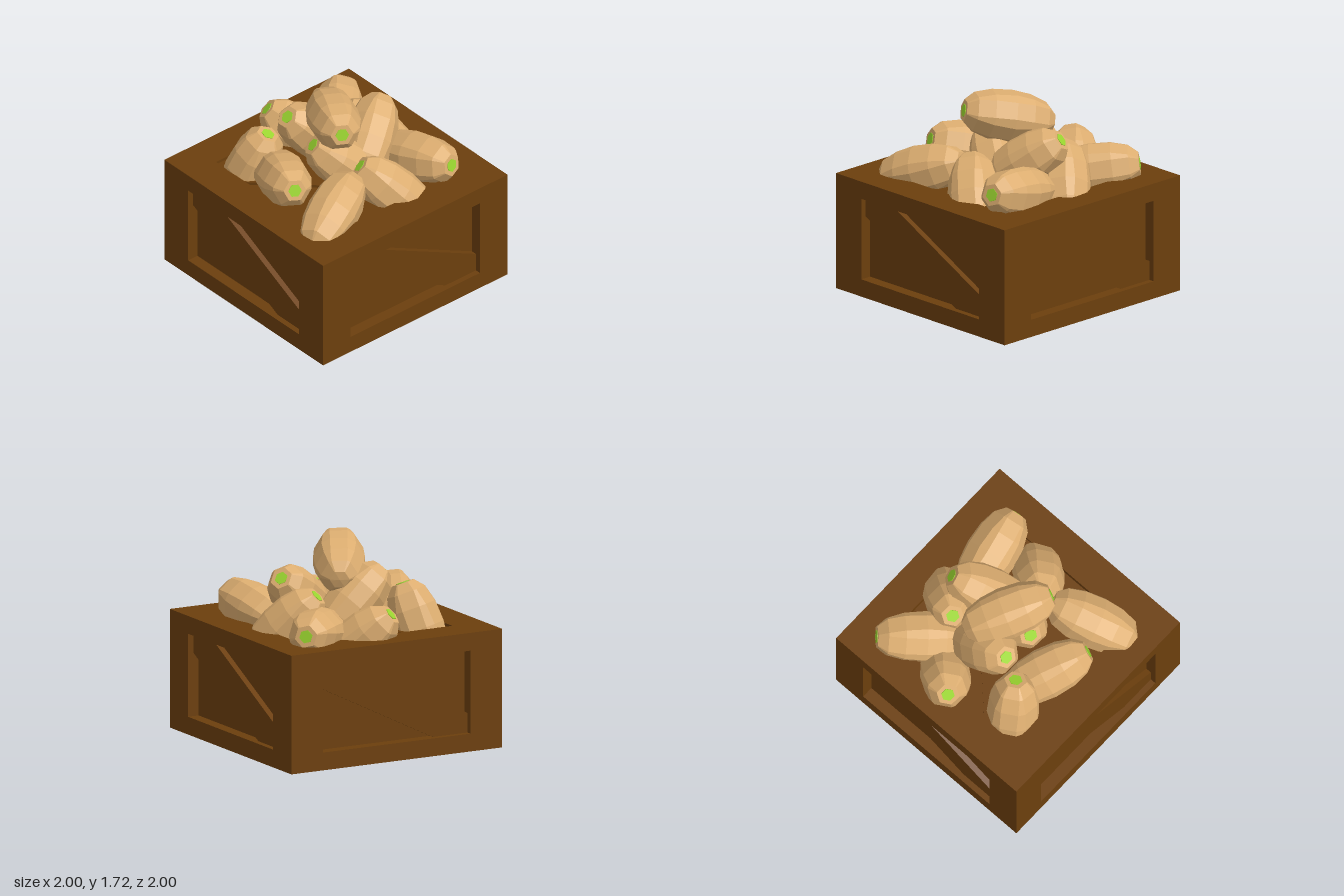
import * as THREE from 'three';

const wood = new THREE.MeshStandardMaterial({ color: 0x6c3f0d });
wood.name = 'brown wood';
const skin = new THREE.MeshStandardMaterial({ color: 0xdcad70 });
skin.name = 'tan skin';
const green = new THREE.MeshStandardMaterial({ color: 0x9bd630 });
green.name = 'green tip';

function add(parent, name, geometry, material, x = 0, y = 0, z = 0) {
  const mesh = new THREE.Mesh(geometry, material);
  mesh.name = name;
  mesh.position.set(x, y, z);
  parent.add(mesh);
  return mesh;
}

// Crate: a 2-unit framed cube, squashed to half its height
function createCrate() {
  const crate = new THREE.Group();
  crate.name = 'crate';
  add(crate, 'recessedPanels', new THREE.BoxGeometry(1.8, 1.8, 1.8), wood);

  const post = new THREE.BoxGeometry(0.3, 2, 0.3);
  const railX = new THREE.BoxGeometry(1.4, 0.3, 0.3);
  const railZ = new THREE.BoxGeometry(0.3, 0.3, 1.4);
  for (const a of [-0.85, 0.85]) {
    for (const b of [-0.85, 0.85]) {
      add(crate, 'cornerPost', post, wood, a, 0, b);
      add(crate, 'rail', railX, wood, 0, a, b);
      add(crate, 'sideRail', railZ, wood, a, b, 0);
    }
  }

  // Diagonal brace from upper left to lower right on each of the six faces
  const outline = [[-0.7, 0.7], [-0.7, 0.37], [0.37, -0.7], [0.7, -0.7], [0.7, -0.37], [-0.37, 0.7]];
  const braceGeometry = new THREE.ExtrudeGeometry(
    new THREE.Shape(outline.map(([x, y]) => new THREE.Vector2(x, y))),
    { depth: 0.05, bevelEnabled: false });
  braceGeometry.translate(0, 0, 0.9);
  const q = Math.PI / 2;
  for (const [rx, ry] of [[0, 0], [0, q], [0, 2 * q], [0, -q], [-q, 0], [q, 0]]) {
    add(crate, 'brace', braceGeometry, wood).rotation.set(rx, ry, 0);
  }
  crate.scale.y = 0.5;
  crate.position.y = 0.5;
  return crate;
}

// Vegetable: a faceted barrel with six wide and six narrow strips, tip at y = 0
const LENGTH = 0.78;
function createBodyGeometry() {
  const profile = [[0, -0.78], [0.08, -0.77], [0.155, -0.7], [0.2, -0.56], [0.217, -0.4],
    [0.205, -0.22], [0.165, -0.08], [0.095, 0], [0, 0]];
  const lathe = new THREE.LatheGeometry(profile.map(([r, y]) => new THREE.Vector2(r, y)), 12);
  const pos = lathe.attributes.position;
  const count = profile.length;
  for (let i = 0; i <= 12; i++) {
    for (let j = 0; j < count; j++) {
      const [r, y] = profile[j];
      // narrow strips close up towards both ends
      const spread = 0.04 + 0.15 * Math.sin(Math.PI * Math.min(1, -y / LENGTH));
      const angle = Math.floor(i / 2) * Math.PI / 3 + (i % 2 ? spread : -spread);
      pos.setXYZ(i * count + j, r * Math.sin(angle), y, r * Math.cos(angle));
    }
  }
  const flat = lathe.toNonIndexed();
  flat.computeVertexNormals();
  return flat;
}

// Green tip centre, then a point the body runs towards
const PLACES = [
  [[-0.20, 1.58, 0.31], [0.16, 1.42, -0.34]],
  [[0.60, 1.15, 0.76], [0.48, 0.99, 0.05]],
  [[-0.14, 1.16, 0.38], [-0.74, 0.94, 0.62]],
  [[-0.05, 1.23, 0.36], [0.33, 0.75, 0.70]],
  [[0.56, 1.42, -0.07], [0.12, 1.06, 0.18]],
  [[0.74, 1.09, -0.79], [0.25, 0.99, -0.30]],
  [[0.35, 1.29, -0.29], [0.68, 0.83, 0.00]],
  [[-0.26, 1.46, -0.31], [0.20, 1.00, -0.27]],
  [[-0.66, 1.20, 0.25], [-0.37, 0.98, -0.38]],
  [[-0.42, 1.33, -0.37], [-0.56, 0.70, -0.58]],
  [[-0.06, 1.19, -0.80], [0.30, 0.75, -0.47]],
  [[-0.25, 1.34, 0.00], [0.20, 0.90, 0.24]],
];

function createVegetables() {
  const pile = new THREE.Group();
  pile.name = 'vegetablePile';
  const bodyGeometry = createBodyGeometry();
  const tipGeometry = new THREE.CylinderGeometry(0.057, 0.057, 0.006, 6);
  const up = new THREE.Vector3(0, 1, 0);
  for (const [tip, end] of PLACES) {
    const vegetable = new THREE.Group();
    vegetable.name = 'vegetable';
    const top = new THREE.Vector3(...tip);
    const axis = top.clone().sub(new THREE.Vector3(...end)).normalize();
    vegetable.quaternion.setFromUnitVectors(up, axis);
    vegetable.position.copy(top);
    add(vegetable, 'body', bodyGeometry, skin);
    add(vegetable, 'greenTip', tipGeometry, green, 0, 0.002, 0);
    pile.add(vegetable);
  }
  return pile;
}

export function createModel() {
  const model = new THREE.Group();
  model.name = 'vegetableCrate';
  model.add(createCrate(), createVegetables());
  return model;
}
